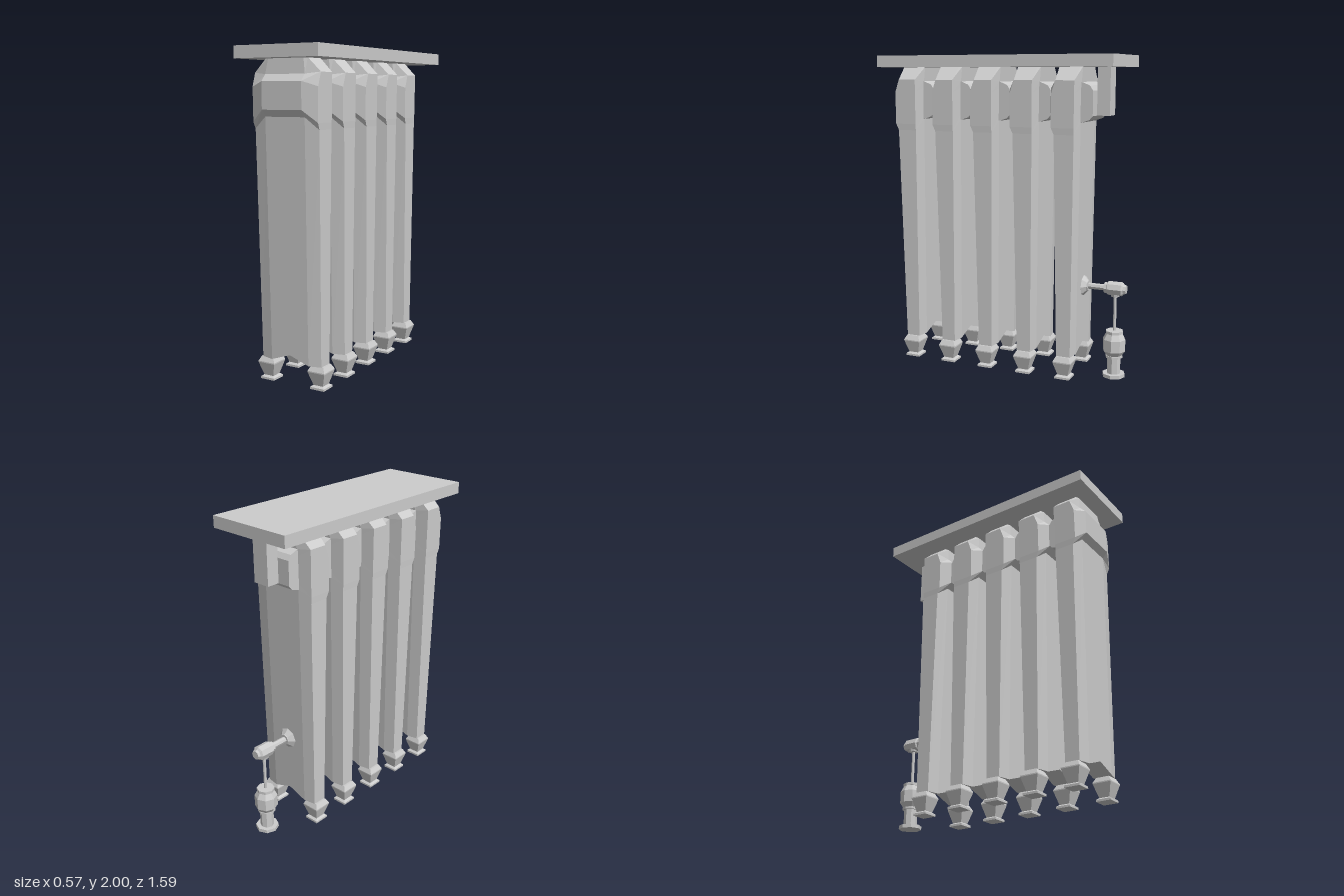
import * as THREE from 'three';

const grey = new THREE.MeshStandardMaterial({ color: 0xcccccc, flatShading: true });

function add(parent, name, geometry, x = 0, y = 0, z = 0) {
  const mesh = new THREE.Mesh(geometry, grey);
  mesh.name = name;
  mesh.position.set(x, y, z);
  parent.add(mesh);
  return mesh;
}

const lathe = (points, sides) =>
  new THREE.LatheGeometry(points.map(([r, y]) => new THREE.Vector2(r, y)), sides);

// Column section: lofted rows of ten points, five across the front and five back.
// Row: inner y, outer y, middle y, inner x, outer x, front z (inner, outer), back z (inner, outer)
function columnGeometry() {
  const rows = [
    [0.155, 0.155, 0.2, 0.13, 0.208, 0.063, 0.045, -0.058, -0.045],
    [1.6, 1.53, 1.6, 0.135, 0.22, 0.09, 0.07, -0.07, -0.055],
    [1.64, 1.57, 1.64, 0.135, 0.222, 0.122, 0.088, -0.07, -0.055],
    [1.8, 1.77, 1.8, 0.135, 0.224, 0.122, 0.088, -0.072, -0.056],
    [1.84, 1.85, 1.84, 0.135, 0.225, 0.085, 0.06, -0.073, -0.057],
    [1.93, 1.93, 1.93, 0.12, 0.142, 0.075, 0.065, -0.075, -0.065],
  ];
  const positions = [];
  const index = [];
  for (const [yi, yo, ym, xi, xo, fi, fo, bi, bo] of rows) {
    const xs = [-xo, -xi, 0, xi, xo];
    const ys = [yo, yi, ym, yi, yo];
    const front = [fo, fi, fi, fi, fo];
    const back = [bo, bi, bi, bi, bo];
    for (let i = 0; i < 5; i++) positions.push(xs[i], ys[i], front[i]);
    for (let i = 4; i >= 0; i--) positions.push(xs[i], ys[i], back[i]);
  }
  const quad = (a, b, c, d) => index.push(a, b, c, a, c, d);
  for (let r = 0; r < rows.length - 1; r++) {
    for (let i = 0; i < 10; i++) {
      const j = (i + 1) % 10;
      quad(r * 10 + i, r * 10 + j, r * 10 + 10 + j, r * 10 + 10 + i);
    }
  }
  // Top and arched bottom caps
  const top = (rows.length - 1) * 10;
  for (let i = 0; i < 4; i++) {
    quad(top + i, top + i + 1, top + 8 - i, top + 9 - i);
    quad(i + 1, i, 9 - i, 8 - i);
  }
  const geometry = new THREE.BufferGeometry();
  geometry.setAttribute('position', new THREE.Float32BufferAttribute(positions, 3));
  geometry.setIndex(index);
  const flat = geometry.toNonIndexed();
  flat.computeVertexNormals();
  return flat;
}

// Connector hub behind each column: side profile in (z, y) extruded across x
function hubGeometry() {
  const profile = [[-0.06, 1.6], [-0.075, 1.6], [-0.125, 1.617], [-0.145, 1.64],
    [-0.145, 1.79], [-0.125, 1.82], [-0.075, 1.84], [-0.06, 1.84]];
  const shape = new THREE.Shape(profile.map(([z, y]) => new THREE.Vector2(-z, y)));
  const geometry = new THREE.ExtrudeGeometry(shape, { depth: 0.28, bevelEnabled: false });
  geometry.translate(0, 0, -0.14);
  geometry.rotateY(Math.PI / 2);
  return geometry;
}

// Square foot: four-sided lathe turned so its sides face the axes
function footGeometry() {
  const profile = [[0, 0.013], [0.048, 0.013], [0.048, 0.026], [0.033, 0.036],
    [0.058, 0.118], [0.058, 0.125], [0.042, 0.155], [0, 0.155]];
  const geometry = lathe(profile.map(([r, y]) => [r * Math.SQRT2, y]), 4);
  geometry.rotateY(Math.PI / 4);
  return geometry;
}

function createValve() {
  const valve = new THREE.Group();
  valve.name = 'valve';
  const z = -0.72;
  add(valve, 'valveStand', lathe([
    [0, 0], [0.072, 0], [0.072, 0.022], [0.043, 0.022], [0.043, 0.125], [0.055, 0.125],
    [0.055, 0.14], [0.05, 0.14], [0.072, 0.17], [0.072, 0.245], [0.052, 0.282],
    [0.056, 0.282], [0.056, 0.3], [0, 0.3]], 8), 0, 0, z);
  add(valve, 'valveRod', new THREE.CylinderGeometry(0.01, 0.01, 0.26, 8), 0, 0.42, z);
  // Horizontal pipe running back from the wall collar to the elbow
  const pipe = lathe([
    [0.066, 0], [0.066, 0.012], [0.035, 0.04], [0.035, 0.045], [0.02, 0.045], [0.02, 0.15],
    [0.035, 0.15], [0.035, 0.168], [0.045, 0.174], [0.045, 0.262], [0.032, 0.272],
    [0.028, 0.288], [0, 0.288]], 8);
  pipe.rotateX(-Math.PI / 2);
  add(valve, 'valvePipe', pipe, 0, 0.57, -0.502);
  add(valve, 'elbowCollar', new THREE.CylinderGeometry(0.035, 0.028, 0.03, 8), 0, 0.535, z);
  return valve;
}

export function createModel() {
  const model = new THREE.Group();
  model.name = 'radiator';

  add(model, 'shelf', new THREE.BoxGeometry(0.568, 0.072, 1.55), 0, 1.964, 0.018);

  // Five identical columns, front to back
  const column = columnGeometry();
  const hub = hubGeometry();
  const foot = footGeometry();
  for (let i = 0; i < 5; i++) {
    const section = new THREE.Group();
    section.name = 'section';
    section.position.z = 0.612 - i * 0.266;
    add(section, 'column', column);
    add(section, 'hub', hub);
    for (const side of [-1, 1]) add(section, 'foot', foot, side * 0.178, 0, 0);
    model.add(section);
  }

  add(model, 'shelfBracket', new THREE.BoxGeometry(0.11, 0.29, 0.08), 0, 1.785, -0.637);
  model.add(createValve());
  return model;
}
